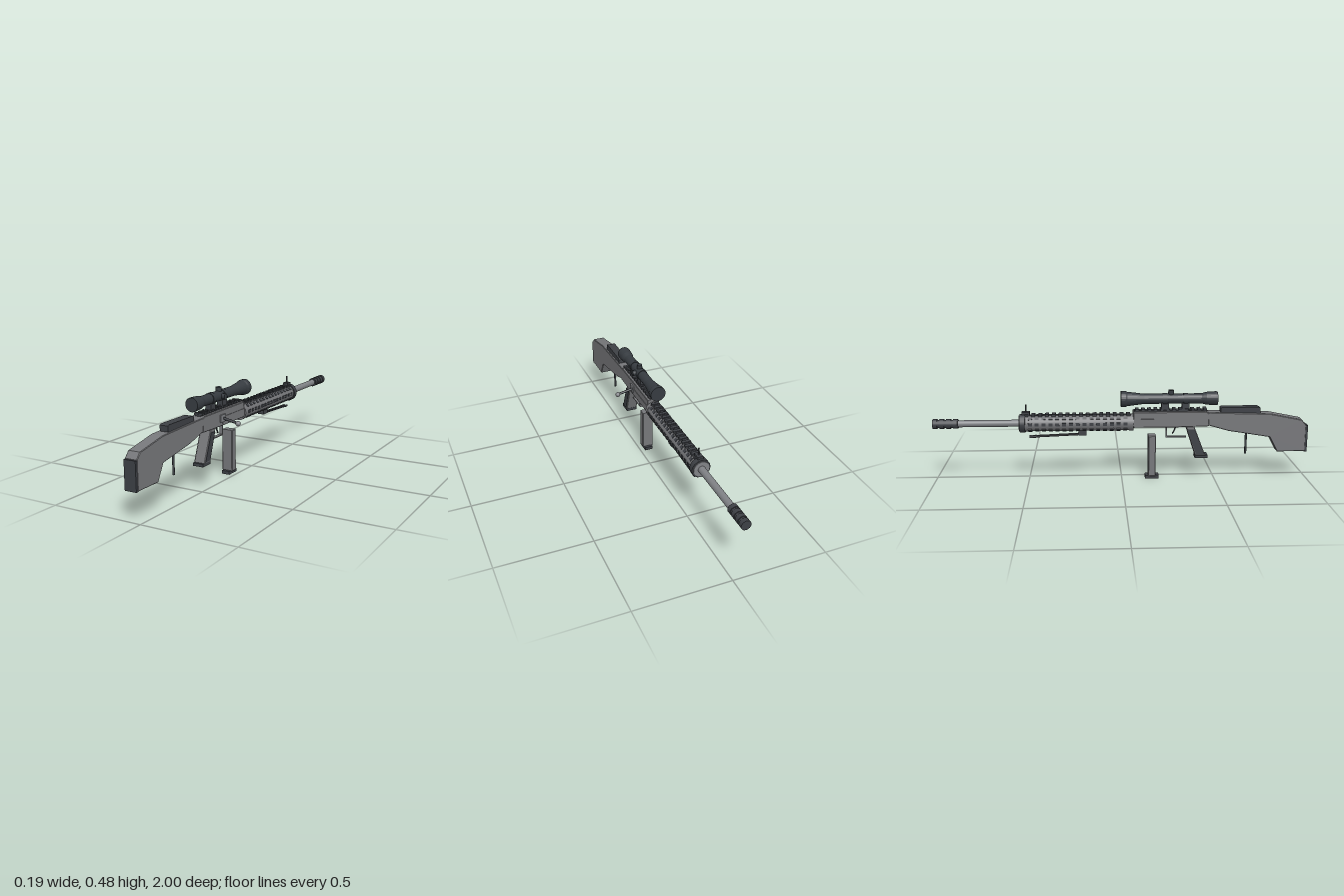
import * as THREE from 'three';

export function createModel() {
  const model = new THREE.Group();
  const body = new THREE.Group();
  body.name = 'body';
  body.position.x = -0.047; // the side handle sets the body off centre
  model.add(body);

  const mat = (name, color) => {
    const m = new THREE.MeshStandardMaterial({ color });
    m.name = name;
    return m;
  };
  const grey = mat('body grey', 0x76777a);
  const steel = mat('steel grey', 0x808286);
  const dark = mat('dark grey', 0x3d4045);
  const black = mat('scope black', 0x363b40);

  const add = (name, geo, m, x = 0, y = 0, z = 0) => {
    const mesh = new THREE.Mesh(geo, m);
    mesh.name = name;
    mesh.position.set(x, y, z);
    body.add(mesh);
    return mesh;
  };
  // Box given by its width and its y and z ranges
  const box = (name, m, w, y0, y1, z0, z1, x = 0) =>
    add(name, new THREE.BoxGeometry(w, y1 - y0, z1 - z0), m, x, (y0 + y1) / 2, (z0 + z1) / 2);
  // Side profile in (z, y) extruded across x with a small bevel
  const slab = (name, m, w, pts, bevel = 0, x = 0) => {
    const shape = new THREE.Shape(pts.map(([z, y]) => new THREE.Vector2(z, y)));
    const geo = new THREE.ExtrudeGeometry(shape, {
      depth: w - 2 * bevel, bevelEnabled: bevel > 0, bevelSize: bevel,
      bevelOffset: -bevel, bevelThickness: bevel, bevelSegments: 1,
    });
    geo.translate(0, 0, -(w - 2 * bevel) / 2).rotateY(-Math.PI / 2);
    return add(name, geo, m, x);
  };
  // Round part along z
  const round = (name, m, r, z0, z1, y, sides = 24) =>
    add(name, new THREE.CylinderGeometry(r, r, z1 - z0, sides).rotateX(Math.PI / 2), m, 0, y, (z0 + z1) / 2);
  // Rod between two points
  const rod = (name, m, r, a, b) => {
    const p = new THREE.Vector3(...a), q = new THREE.Vector3(...b);
    const mesh = add(name, new THREE.CylinderGeometry(r, r, p.distanceTo(q), 10), m);
    mesh.position.copy(p).add(q).multiplyScalar(0.5);
    mesh.quaternion.setFromUnitVectors(new THREE.Vector3(0, 1, 0), q.sub(p).normalize());
    return mesh;
  };

  // Stock
  slab('stock', grey, 0.067, [
    [0.99, 0.147], [0.99, 0.292], [0.965, 0.322], [0.795, 0.356], [0.46, 0.367],
    [0.46, 0.297], [0.57, 0.265], [0.795, 0.228], [0.838, 0.147],
  ], 0.003);
  box('buttPad', dark, 0.064, 0.145, 0.29, 0.985, 1);
  slab('cheekRest', dark, 0.047, [[0.74, 0.352], [0.74, 0.387], [0.73, 0.392], [0.535, 0.392], [0.527, 0.387], [0.527, 0.36]]);
  rod('rearRod', dark, 0.006, [0, 0.13, 0.672], [0, 0.26, 0.672]);

  // Receiver with a top rail
  slab('receiver', grey, 0.069, [
    [0.465, 0.292], [0.465, 0.362], [0.45, 0.372], [0.06, 0.372], [0.06, 0.288], [0.3, 0.288],
  ], 0.003);
  box('receiverBand', grey, 0.075, 0.297, 0.335, 0.06, 0.28);
  box('receiverRail', dark, 0.036, 0.37, 0.378, 0.065, 0.455);
  for (let i = 0; i < 12; i++) {
    const z = 0.072 + i * 0.033;
    box('receiverRailTooth', dark, 0.048, 0.376, 0.386, z, z + 0.018);
  }

  // Bolt housing and handle
  box('boltHousing', steel, 0.01, 0.31, 0.348, 0.262, 0.308, 0.037);
  rod('boltHandle', dark, 0.007, [0.035, 0.329, 0.28], [0.125, 0.311, 0.28]);
  add('boltKnob', new THREE.SphereGeometry(0.0135, 16, 12), steel, 0.1255, 0.31, 0.28);

  // Grip with dark side panels
  slab('grip', grey, 0.062, [[0.45, 0.128], [0.385, 0.295], [0.34, 0.295], [0.395, 0.128]], 0.003);
  for (const s of [-1, 1])
    slab('gripPanel', dark, 0.005, [[0.443, 0.135], [0.389, 0.275], [0.351, 0.275], [0.4, 0.135]], 0, s * 0.031);
  box('gripBase', dark, 0.06, 0.114, 0.13, 0.393, 0.463);

  // Trigger and guard
  box('guardBar', grey, 0.018, 0.225, 0.231, 0.236, 0.346);
  box('guardFront', grey, 0.018, 0.225, 0.29, 0.236, 0.243);
  const curve = new THREE.QuadraticBezierCurve3(
    new THREE.Vector3(0, 0.29, 0.29), new THREE.Vector3(0, 0.262, 0.285), new THREE.Vector3(0, 0.246, 0.272));
  add('trigger', new THREE.TubeGeometry(curve, 8, 0.004, 8), dark);

  // Magazine, standing clear below the receiver
  slab('magazine', grey, 0.061, [[0.182, 0.015], [0.182, 0.24], [0.142, 0.24], [0.142, 0.015]], 0.003);
  box('magazineBase', dark, 0.045, 0, 0.018, 0.126, 0.2);

  // Handguard with rows of dark slots around it
  const axisY = 0.312;
  round('handguard', grey, 0.044, -0.535, 0.062, axisY, 16);
  round('handguardCollar', grey, 0.046, 0.04, 0.062, axisY, 16);
  round('frontRing', dark, 0.05, -0.542, -0.512, axisY, 16);
  round('frontCap', steel, 0.042, -0.546, -0.54, axisY, 16);
  for (let k = 1; k < 8; k++) {
    const a = k * Math.PI / 4;
    for (let i = 0; i < 15; i++) {
      const slot = add('handguardSlot', new THREE.BoxGeometry(0.016, 0.008, 0.021), dark,
        Math.sin(a) * 0.042, axisY + Math.cos(a) * 0.042, 0.018 - i * 0.036);
      slot.rotation.z = -a;
    }
  }
  box('handguardRail', dark, 0.022, 0.35, 0.357, -0.51, 0.055);
  for (let i = 0; i < 16; i++) {
    const z = 0.035 - i * 0.036;
    box('handguardRailTooth', dark, 0.044, 0.35, 0.362, z - 0.01, z + 0.01);
  }

  // Front sight
  box('frontSightBase', dark, 0.03, 0.355, 0.374, -0.53, -0.488);
  rod('frontSightPost', dark, 0.004, [0, 0.37, -0.508], [0, 0.412, -0.508]);

  // Barrel and ribbed muzzle
  round('barrel', steel, 0.0185, -0.9, -0.53, axisY);
  round('muzzle', dark, 0.022, -1, -0.865, axisY, 16);
  for (let i = 0; i < 4; i++) {
    const z = -1 + i * 0.036;
    round('muzzleRib', dark, 0.026, z, z + 0.024, axisY, 16);
  }

  // Folded legs under the handguard
  box('legMount', dark, 0.036, 0.246, 0.275, -0.232, -0.188);
  for (const s of [-1, 1]) {
    rod('foldedLeg', dark, 0.0045, [s * 0.009, 0.25, -0.2], [s * 0.009, 0.238, -0.48]);
    rod('legFoot', dark, 0.006, [s * 0.009, 0.239, -0.455], [s * 0.009, 0.237, -0.492]);
  }

  // Scope
  const profile = [[0, 0.51], [0.036, 0.51], [0.037, 0.5], [0.034, 0.45], [0.027, 0.425],
    [0.027, 0.12], [0.038, 0.03], [0.042, 0.02], [0.042, -0.005], [0, -0.005]];
  const scope = new THREE.LatheGeometry(
    profile.map(([r, z]) => new THREE.Vector2(r, z)).reverse(), 28).rotateX(Math.PI / 2).toNonIndexed();
  scope.computeVertexNormals();
  add('scope', scope, black, 0, 0.438, 0);
  rod('scopeTopTurret', black, 0.015, [0, 0.44, 0.262], [0, 0.484, 0.262]);
  rod('scopeSideTurret', black, 0.015, [0, 0.438, 0.262], [0.043, 0.438, 0.262]);
  for (const z of [0.34, 0.23]) {
    box('scopeMount', dark, 0.034, 0.38, 0.42, z - 0.02, z + 0.02);
    round('scopeRing', black, 0.03, z - 0.012, z + 0.012, 0.438);
  }
  return model;
}
